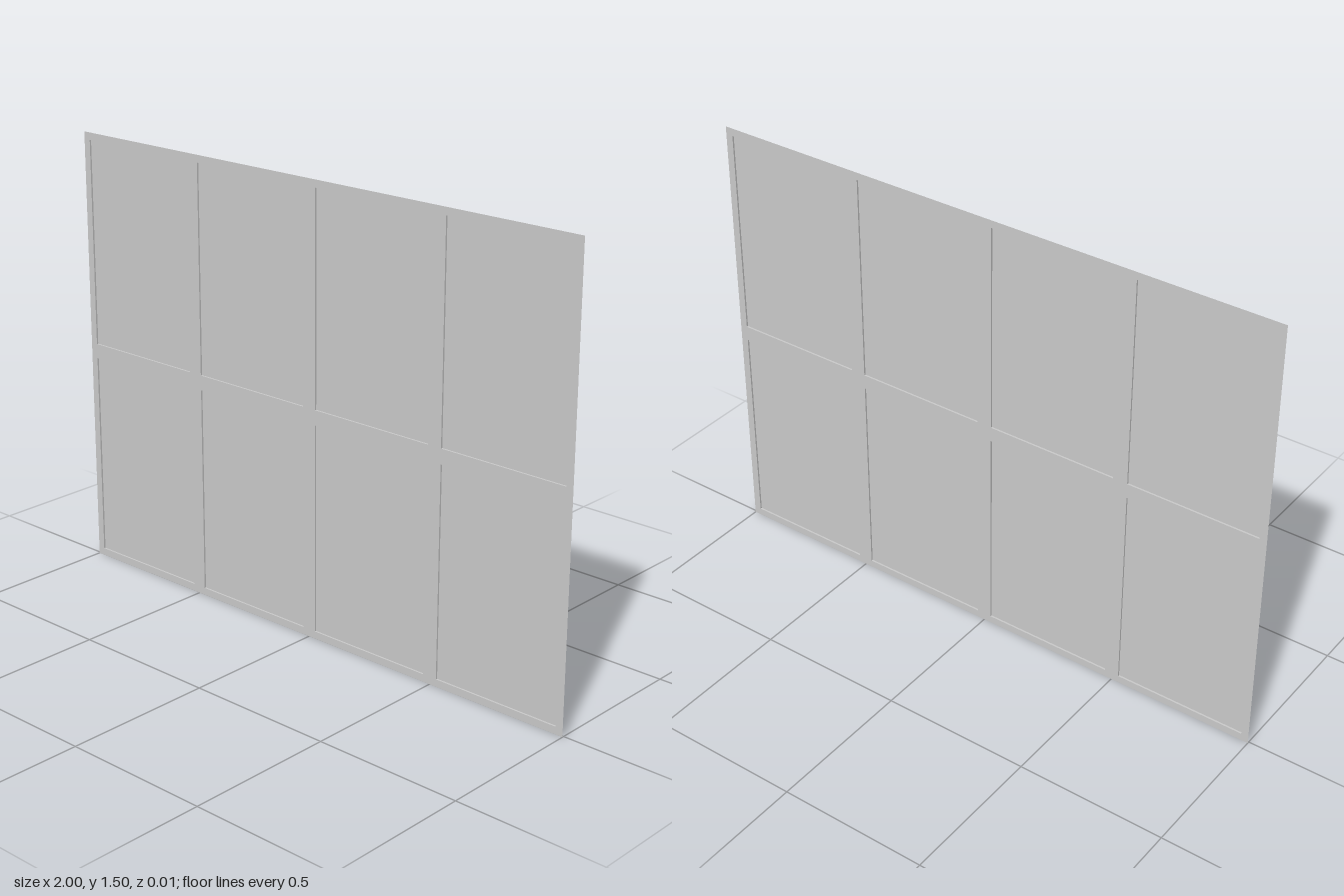
import * as THREE from 'three';

const COLS = 4, ROWS = 2;
const CELL_W = 0.5, CELL_H = 0.75;   // one bay of the grid
const OPEN_W = 0.45, OPEN_H = 0.70;  // clear opening in a bay
const HALF = 0.006;                  // half the frame thickness
const W = COLS * CELL_W, H = ROWS * CELL_H;

const grey = new THREE.MeshStandardMaterial({ color: 0xcccccc });
const greyDouble = new THREE.MeshStandardMaterial({ color: 0xcccccc, side: THREE.DoubleSide });

function rectangle(PathType, cx, cy, w, h) {
  const path = new PathType();
  path.moveTo(cx - w / 2, cy - h / 2);
  path.lineTo(cx + w / 2, cy - h / 2);
  path.lineTo(cx + w / 2, cy + h / 2);
  path.lineTo(cx - w / 2, cy + h / 2);
  path.closePath();
  return path;
}

function addMesh(parent, name, geometry, material) {
  const mesh = new THREE.Mesh(geometry, material);
  mesh.name = name;
  parent.add(mesh);
  return mesh;
}

export function createModel() {
  const model = new THREE.Group();
  model.name = 'windowGrid';

  const centres = [];
  for (let row = 0; row < ROWS; row++)
    for (let col = 0; col < COLS; col++)
      centres.push([(col + 0.5) * CELL_W - W / 2, (row + 0.5) * CELL_H]);

  // Frame faces, front and back, open along the outer rim
  const outline = rectangle(THREE.Shape, 0, H / 2, W, H);
  for (const [x, y] of centres) outline.holes.push(rectangle(THREE.Path, x, y, OPEN_W, OPEN_H));
  const face = new THREE.ShapeGeometry(outline);
  addMesh(model, 'frameFront', face, grey).position.z = HALF;
  const back = addMesh(model, 'frameBack', face, grey);
  back.position.z = -HALF;
  back.rotation.y = Math.PI;

  // Each opening: four reveal walls and a pane in mid-depth
  const paneGeometry = new THREE.PlaneGeometry(OPEN_W, OPEN_H);
  const sideGeometry = new THREE.PlaneGeometry(2 * HALF, OPEN_H).rotateY(Math.PI / 2);
  const sillGeometry = new THREE.PlaneGeometry(OPEN_W, 2 * HALF).rotateX(-Math.PI / 2);
  for (const [x, y] of centres) {
    const bay = new THREE.Group();
    bay.name = 'windowBay';
    bay.position.set(x, y, 0);
    addMesh(bay, 'pane', paneGeometry, greyDouble);
    for (const s of [-1, 1]) {
      addMesh(bay, 'sideReveal', sideGeometry, greyDouble).position.x = s * OPEN_W / 2;
      addMesh(bay, s < 0 ? 'sillReveal' : 'headReveal', sillGeometry, greyDouble).position.y = s * OPEN_H / 2;
    }
    model.add(bay);
  }
  return model;
}
